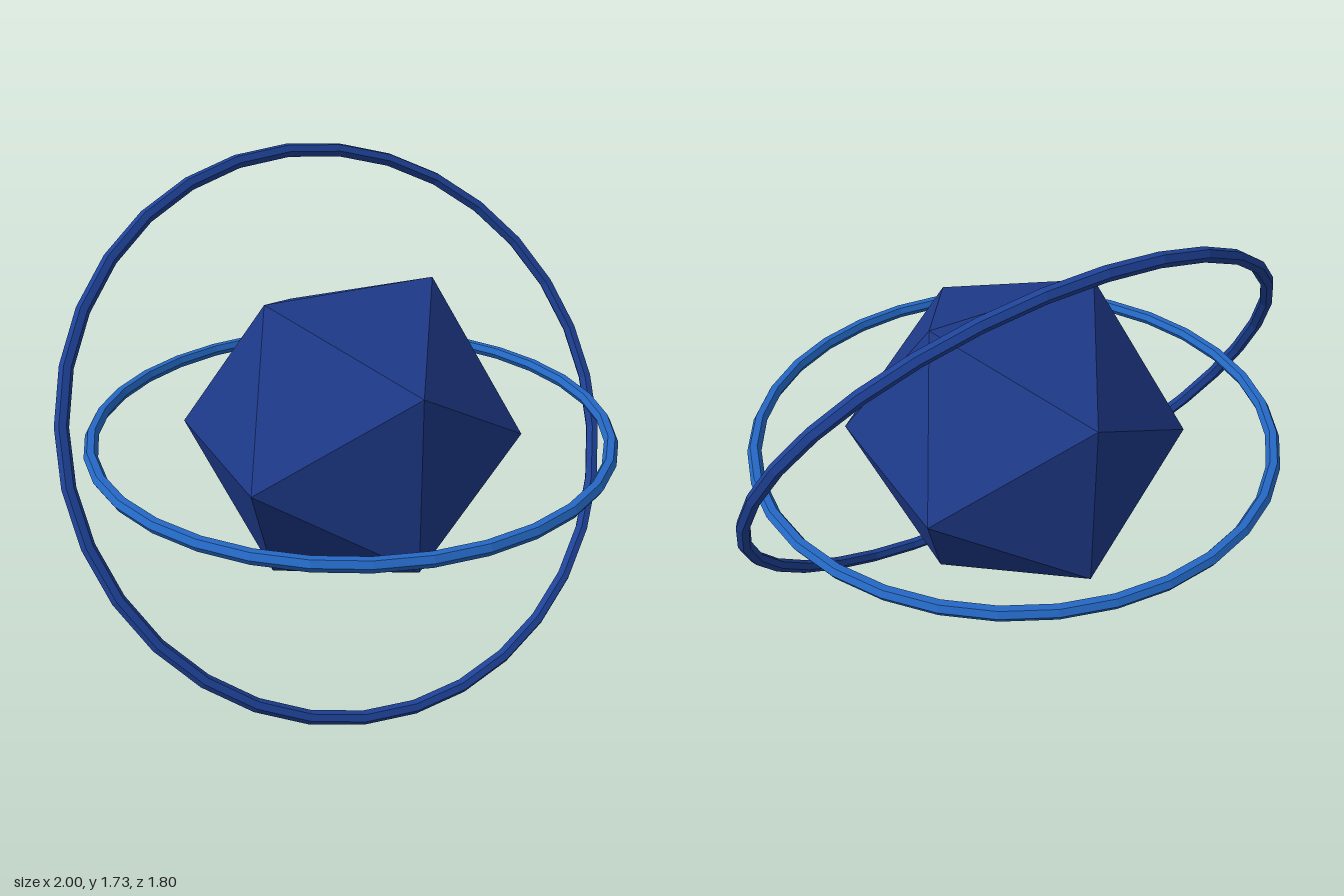
import * as THREE from 'three';

const CENTER_Y = 0.867;
const TUBE = 0.0235;

function addPart(group, name, geometry, color, tilt = 0) {
  const material = new THREE.MeshStandardMaterial({ color, flatShading: true });
  const mesh = new THREE.Mesh(geometry, material);
  mesh.name = name;
  mesh.position.y = CENTER_Y;
  mesh.rotation.x = tilt;
  group.add(mesh);
}

// Hexagonal tube bent into a 32-sided ring
const ring = (radius) => new THREE.TorusGeometry(radius, TUBE, 6, 32);

export function createModel() {
  const group = new THREE.Group();
  group.name = 'ringedCrystal';

  // Faceted core
  addPart(group, 'core', new THREE.IcosahedronGeometry(0.579, 0), 0x1e3a8a);

  // Inner ring lies flat, outer ring leans back 30 degrees
  addPart(group, 'flatRing', ring(0.876), 0x2468c4, Math.PI / 2);
  addPart(group, 'tiltedRing', ring(0.9765), 0x1e4298, -Math.PI / 6);

  return group;
}
